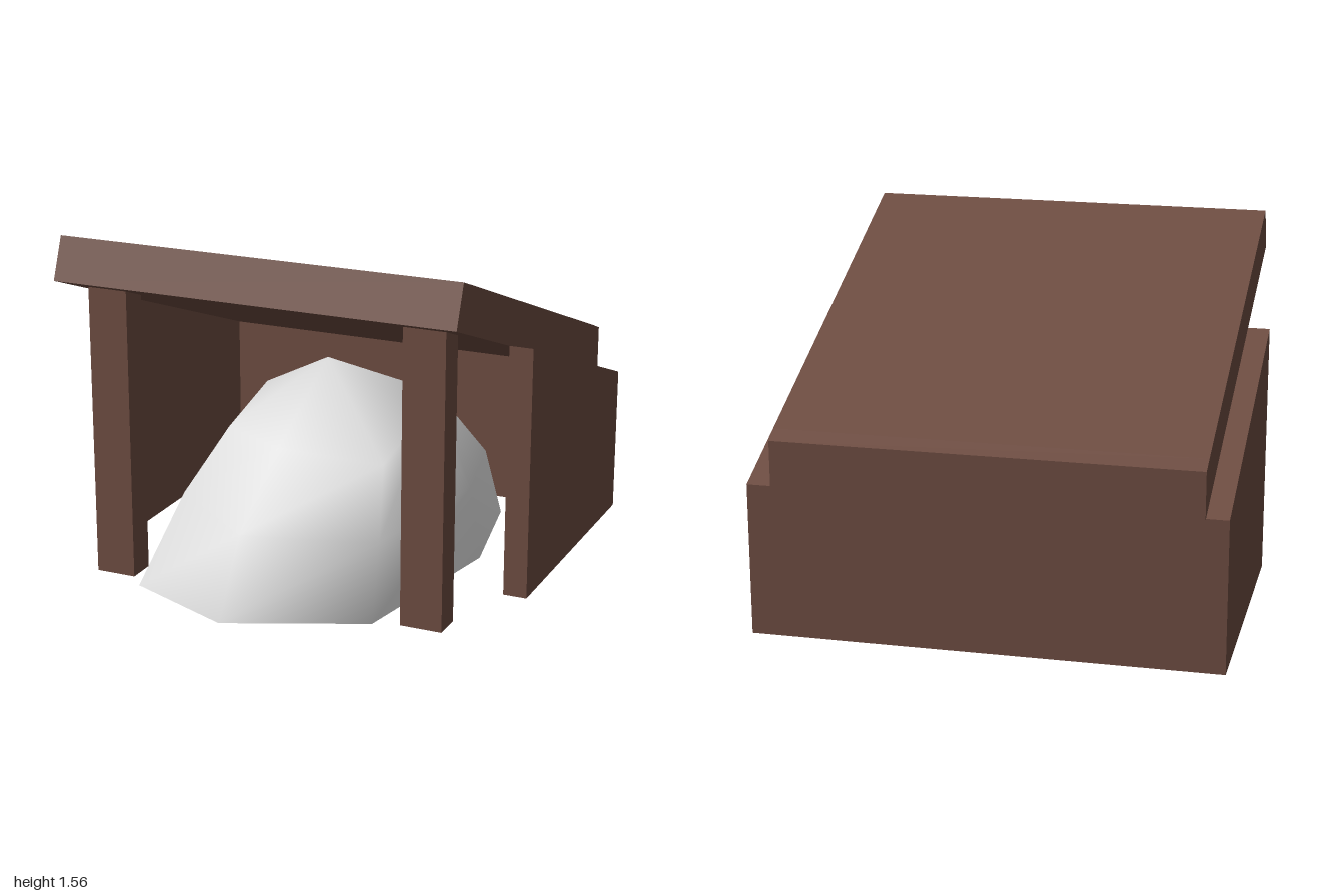
import * as THREE from 'three';

const timber = new THREE.MeshStandardMaterial({ color: 0x6d4c41 });
timber.name = 'brown timber';
const salt = new THREE.MeshStandardMaterial({ color: 0xe0e0e0, side: THREE.DoubleSide });
salt.name = 'pale heap';

// Height of the roof's underside at depth z
const under = (z) => 1.38 + (z - 0.84) * 0.372;

// Extrudes a side profile of [z, y] points across the width from x0 to x1
function slab(name, profile, x0, x1) {
  const shape = new THREE.Shape(profile.map(([z, y]) => new THREE.Vector2(z, y)));
  const geo = new THREE.ExtrudeGeometry(shape, { depth: x1 - x0, bevelEnabled: false });
  geo.rotateY(-Math.PI / 2).translate(x1, 0, 0);
  const mesh = new THREE.Mesh(geo, timber);
  mesh.name = name;
  return mesh;
}

// Upright piece standing at z0..z1, cut to the roof slope
function upright(name, x0, x1, z0, z1) {
  return slab(name, [[z0, 0.04], [z1, 0.04], [z1, under(z1)], [z0, under(z0)]], x0, x1);
}

// Uneven hollow heap: three rings of eight points and a peak
function heap() {
  const rings = [
    [[-0.62, 0, 0.7], [-0.08, 0.04, 0.995], [0.5, 0.035, 0.73], [0.7, 0.09, 0],
      [0.6, 0.1, -0.54], [0.1, 0.1, -0.8], [-0.38, 0.1, -0.74], [-0.64, 0.09, 0]],
    [[-0.45, 0.42, 0.58], [-0.05, 0.39, 0.86], [0.5, 0.37, 0.66], [0.66, 0.42, 0.02],
      [0.54, 0.41, -0.48], [0.07, 0.41, -0.68], [-0.35, 0.41, -0.6], [-0.5, 0.42, 0.02]],
    [[-0.31, 0.69, 0.42], [0, 0.69, 0.575], [0.45, 0.655, 0.5], [0.46, 0.75, 0.05],
      [0.35, 0.71, -0.34], [0.04, 0.72, -0.42], [-0.24, 0.72, -0.36], [-0.31, 0.785, 0.04]],
  ];
  const n = 8;
  const points = [...rings.flat(), [0, 0.945, 0.07]];
  const index = [];
  for (let i = 0; i < n; i++) {
    const j = (i + 1) % n;
    for (let r = 0; r < 2; r++) {
      const a = r * n + i, b = r * n + j;
      index.push(a, b, b + n, a, b + n, a + n);
    }
    index.push(2 * n + i, 2 * n + j, 3 * n);
  }
  const geo = new THREE.BufferGeometry();
  geo.setAttribute('position', new THREE.Float32BufferAttribute(points.flat(), 3));
  geo.setIndex(index);
  geo.computeVertexNormals();
  const mesh = new THREE.Mesh(geo, salt);
  mesh.name = 'heap';
  return mesh;
}

export function createModel() {
  const group = new THREE.Group();
  group.name = 'storageShed';

  // Sloping roof with a plumb-cut back edge
  group.add(slab('roof',
    [[-0.995, under(-0.995)], [0.84, 1.38], [0.77, 1.56], [-0.92, 0.93], [-0.995, 0.9]],
    -0.905, 0.895));

  // Walls
  group.add(upright('rightWall', -1, -0.905, -0.985, 0.23));
  group.add(upright('leftWall', 0.895, 1, -0.985, 0.23));
  group.add(upright('backWall', -0.905, 0.895, -0.985, -0.87));

  // Front posts
  group.add(upright('rightPost', -0.82, -0.64, 0.575, 0.705));
  group.add(upright('leftPost', 0.615, 0.8, 0.575, 0.705));

  group.add(heap());
  return group;
}
